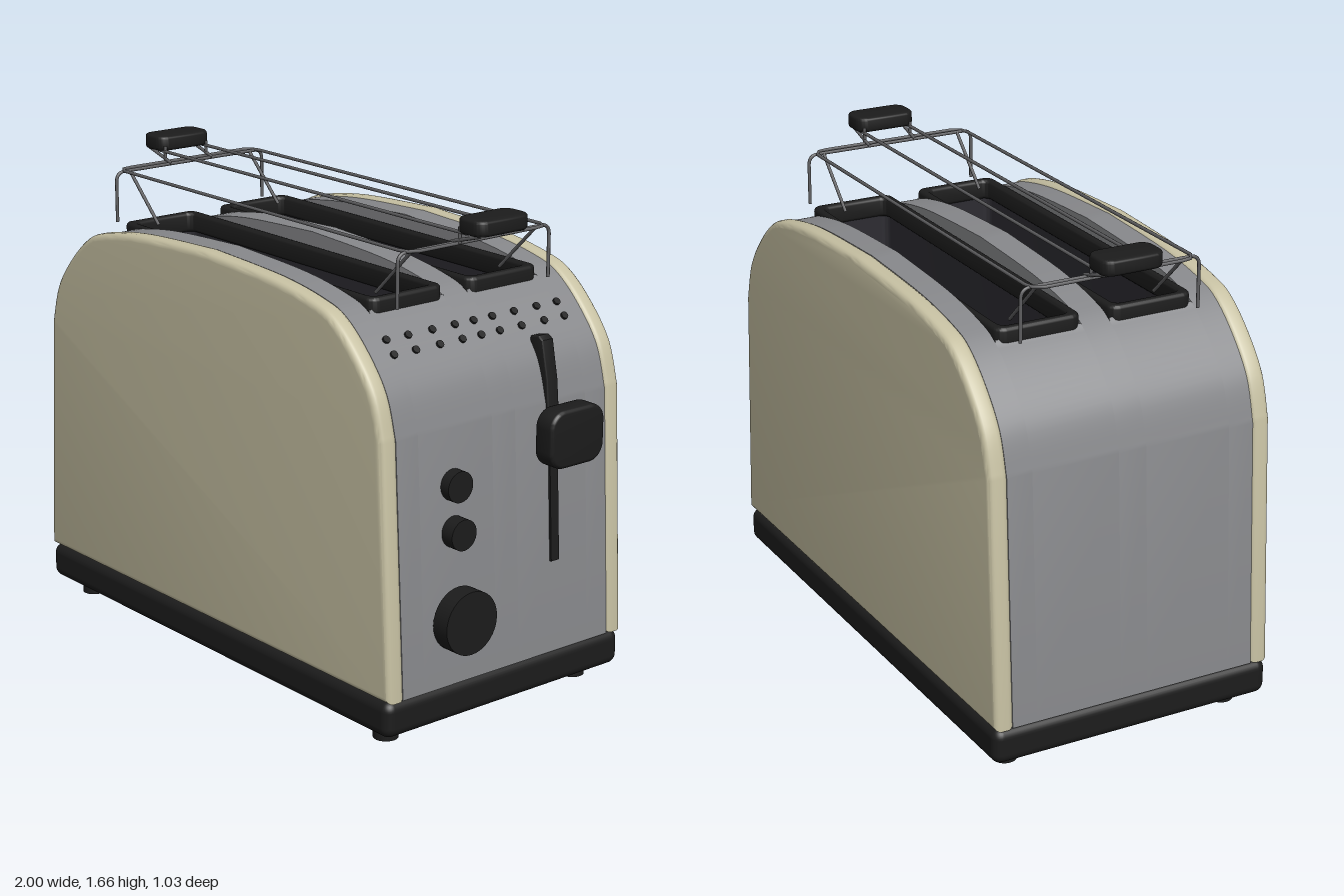
import * as THREE from 'three';
import { toCreasedNormals } from 'three/addons/utils/BufferGeometryUtils.js';
import { RoundedBoxGeometry } from 'three/addons/geometries/RoundedBoxGeometry.js';

const CX = -0.04; // centre of the body in x
const mat = (color, side = THREE.FrontSide) => new THREE.MeshStandardMaterial({ color, side });
const cream = mat(0xc6c0a2), steel = mat(0x87888b), black = mat(0x1c1c1c);
const lining = mat(0x2c2b31, THREE.DoubleSide), wire = mat(0x606062);

// Right half of the body outline, as offsets from CX, from the bottom to the crown
const HALF = (() => {
  const v = (x, y) => new THREE.Vector2(x, y);
  const arch = new THREE.SplineCurve([
    v(0.915, 1.03), v(0.872, 1.17), v(0.785, 1.285), v(0.68, 1.375), v(0.58, 1.413), v(0.36, 1.447), v(0, 1.465)]);
  return [v(0.96, 0.175), ...arch.getPoints(36)];
})();

// Surface point and tilt of the right end at a height
function endSurface(y) {
  const i = Math.max(1, HALF.findIndex(p => p.y >= y));
  const a = HALF[i - 1], b = HALF[i];
  const x = CX + a.x + (b.x - a.x) * (y - a.y) / (b.y - a.y);
  return { x, tilt: Math.atan2(a.x - b.x, b.y - a.y) };
}

// Full body outline; with a notch it is cut down to notchY for |x - CX| < notchHalf
function bodyShape(inset = 0, notchHalf = 0, notchY = 0) {
  const right = HALF.filter(p => p.x > notchHalf).map(p =>
    new THREE.Vector2(p.x - inset, p.y - (p.y > 1 ? inset : 0)));
  if (notchHalf) {
    const top = HALF.find(p => p.x <= notchHalf);
    right.push(new THREE.Vector2(notchHalf, top.y - inset), new THREE.Vector2(notchHalf, notchY));
  } else right.push(new THREE.Vector2(0, 1.465 - inset));
  const left = right.map(p => new THREE.Vector2(-p.x, p.y)).reverse();
  if (!notchHalf) left.shift();
  return new THREE.Shape([...right, ...left].map(p => new THREE.Vector2(p.x + CX, p.y)));
}

function roundRect(w, h, r, Type = THREE.Shape) {
  const s = new Type(), x = w / 2, y = h / 2;
  s.absarc(x - r, y - r, r, 0, Math.PI / 2);
  s.absarc(-x + r, y - r, r, Math.PI / 2, Math.PI);
  s.absarc(-x + r, -y + r, r, Math.PI, 1.5 * Math.PI);
  s.absarc(x - r, -y + r, r, 1.5 * Math.PI, 2 * Math.PI);
  s.closePath();
  return s;
}

// Extrusion of the given total depth, with a bevel kept inside the outline
function extrude(shape, depth, bevel = 0, steps = 3) {
  const g = new THREE.ExtrudeGeometry(shape, {
    depth: depth - 2 * bevel, bevelEnabled: bevel > 0, bevelSize: bevel, bevelThickness: bevel,
    bevelOffset: -bevel, bevelSegments: steps, curveSegments: 6 });
  g.translate(0, 0, bevel);
  return toCreasedNormals(g, 0.6);
}

export function createModel() {
  const model = new THREE.Group();
  model.name = 'toaster';
  const add = (name, geo, material, x = 0, y = 0, z = 0, parent = model) => {
    const m = new THREE.Mesh(geo, material);
    m.name = name;
    m.position.set(x, y, z);
    parent.add(m);
    return m;
  };

  // Base and feet
  add('base', new RoundedBoxGeometry(1.915, 0.125, 1.03, 4, 0.035), black, -0.0425, 0.1125, 0);
  for (const x of [-0.875, 0.79]) for (const z of [-0.415, 0.415])
    add('foot', new THREE.CylinderGeometry(0.042, 0.042, 0.06, 20), black, x, 0.03, z);

  // Coloured side panels
  for (const z of [-0.515, 0.445])
    add('sidePanel', extrude(bodyShape(), 0.07, 0.022, 4), cream, 0, 0, z);

  // Metal shell: three full ribs with two notched sections between them
  const shell = new THREE.Group();
  shell.name = 'metalShell';
  model.add(shell);
  for (const [z0, z1, notch] of [[-0.45, -0.36, 0], [-0.36, -0.05, 1], [-0.05, 0.05, 0], [0.05, 0.36, 1], [0.36, 0.45, 0]])
    add(notch ? 'slotSection' : 'rib', extrude(bodyShape(0.005, notch * 0.67, 0.45), z1 - z0), steel, 0, 0, z0, shell);

  // Bread slots: rounded rim, dark walls and floor
  for (const z of [-0.205, 0.205]) {
    const rim = roundRect(1.36, 0.304, 0.035);
    rim.holes.push(roundRect(1.29, 0.24, 0.025, THREE.Path));
    add('slotRim', extrude(rim, 0.07, 0.012).rotateX(-Math.PI / 2), black, CX, 1.345, z);
    const wall = roundRect(1.325, 0.295, 0.03);
    wall.holes.push(roundRect(1.31, 0.265, 0.025, THREE.Path));
    add('slotWall', extrude(wall, 0.9).rotateX(-Math.PI / 2), lining, CX, 0.46, z);
    add('slotFloor', new THREE.BoxGeometry(1.32, 0.02, 0.29), lining, CX, 0.47, z);
  }

  // Vent holes in two rows on the control end
  for (const y of [1.265, 1.305]) {
    const s = endSurface(y);
    for (const z of [-0.365, -0.275, -0.175, -0.08, 0, 0.08, 0.175, 0.275, 0.365]) {
      const hole = add('ventHole', new THREE.CylinderGeometry(0.013, 0.013, 0.008, 12), black, s.x - 0.004, y, z);
      hole.rotation.z = s.tilt - Math.PI / 2;
    }
  }

  // Lever track, upper guide and lever
  const mid = endSurface(0.75);
  add('leverTrack', new THREE.BoxGeometry(0.012, 0.53, 0.035), black, mid.x - 0.003, 0.755, -0.21).rotation.z = mid.tilt;
  const guide = new THREE.Shape([[0.86, 0.93], [0.888, 0.93], [0.872, 1.1], [0.846, 1.23], [0.825, 1.242], [0.79, 1.235], [0.78, 1.2]]
    .map(p => new THREE.Vector2(...p)));
  add('leverGuide', extrude(guide, 0.05, 0.006), black, 0, 0, -0.235);
  add('leverStem', new THREE.BoxGeometry(0.09, 0.03, 0.05), black, 0.89, 0.95, -0.21);
  add('leverKnob', extrude(roundRect(0.235, 0.195, 0.06), 0.08, 0.012).rotateY(Math.PI / 2), black, 0.92, 0.94, -0.208);

  // Buttons and browning dial
  for (const [name, y, r, x0, x1] of [['button', 0.84, 0.052, 0.86, 0.917], ['button', 0.685, 0.052, 0.87, 0.937],
    ['dial', 0.4, 0.107, 0.915, 0.98], ['dialShaft', 0.4, 0.07, 0.88, 0.92]])
    add(name, new THREE.CylinderGeometry(r, r, x1 - x0, 32).rotateZ(Math.PI / 2), black, (x0 + x1) / 2, y, 0.22);

  // Warming rack of bent wire
  const rack = new THREE.Group();
  rack.name = 'warmingRack';
  model.add(rack);
  const rod = (name, pts, closed = false, bend = 0.035) => {
    const v = pts.map(p => new THREE.Vector3(...p)), n = v.length, path = new THREE.CurvePath();
    const corner = i => {
      const p = v[i], a = v[(i + n - 1) % n], b = v[(i + 1) % n];
      return [p.clone().add(a.clone().sub(p).setLength(bend)), p, p.clone().add(b.clone().sub(p).setLength(bend))];
    };
    let from = closed ? corner(0)[2] : v[0];
    for (let k = 1; k <= (closed ? n : n - 2); k++) {
      const [a, p, b] = corner(k % n);
      path.add(new THREE.LineCurve3(from, a));
      path.add(new THREE.QuadraticBezierCurve3(a, p, b));
      from = b;
    }
    if (!closed) path.add(new THREE.LineCurve3(from, v[n - 1]));
    add(name, new THREE.TubeGeometry(path, n > 2 ? 120 : 1, 0.006, 8, closed), wire, 0, 0, 0, rack);
  };
  rod('rackLoop', [[-0.83, 1.575, -0.295], [0.745, 1.575, -0.295], [0.745, 1.575, 0.295], [-0.83, 1.575, 0.295]], true, 0.05);
  for (const s of [-1, 1]) {
    const x = CX + s * 0.762;
    rod('rackLegs', [[x, 1.395, -0.322], [x, 1.572, -0.322], [x, 1.572, 0.322], [x, 1.395, 0.322]]);
    for (const z of [-0.265, 0.265]) rod('rackBrace', [[x, 1.572, z], [CX + s * 0.59, 1.405, z]]);
    for (const z of [-0.09, 0.09]) {
      rod('handleLink', [[CX + s * 0.89, 1.615, z], [CX + s * 0.75, 1.575, z]]);
      rod('handlePost', [[CX + s * 0.79, 1.575, z], [CX + s * 0.79, 1.63, z]]);
    }
    add('rackHandle', extrude(roundRect(0.122, 0.222, 0.04), 0.052, 0.01).rotateX(-Math.PI / 2), black, CX + s * 0.846, 1.613, 0, rack);
  }
  for (const z of [-0.09, 0.09]) rod('rackRail', [[-0.87, 1.612, z], [0.79, 1.612, z]]);
  return model;
}
